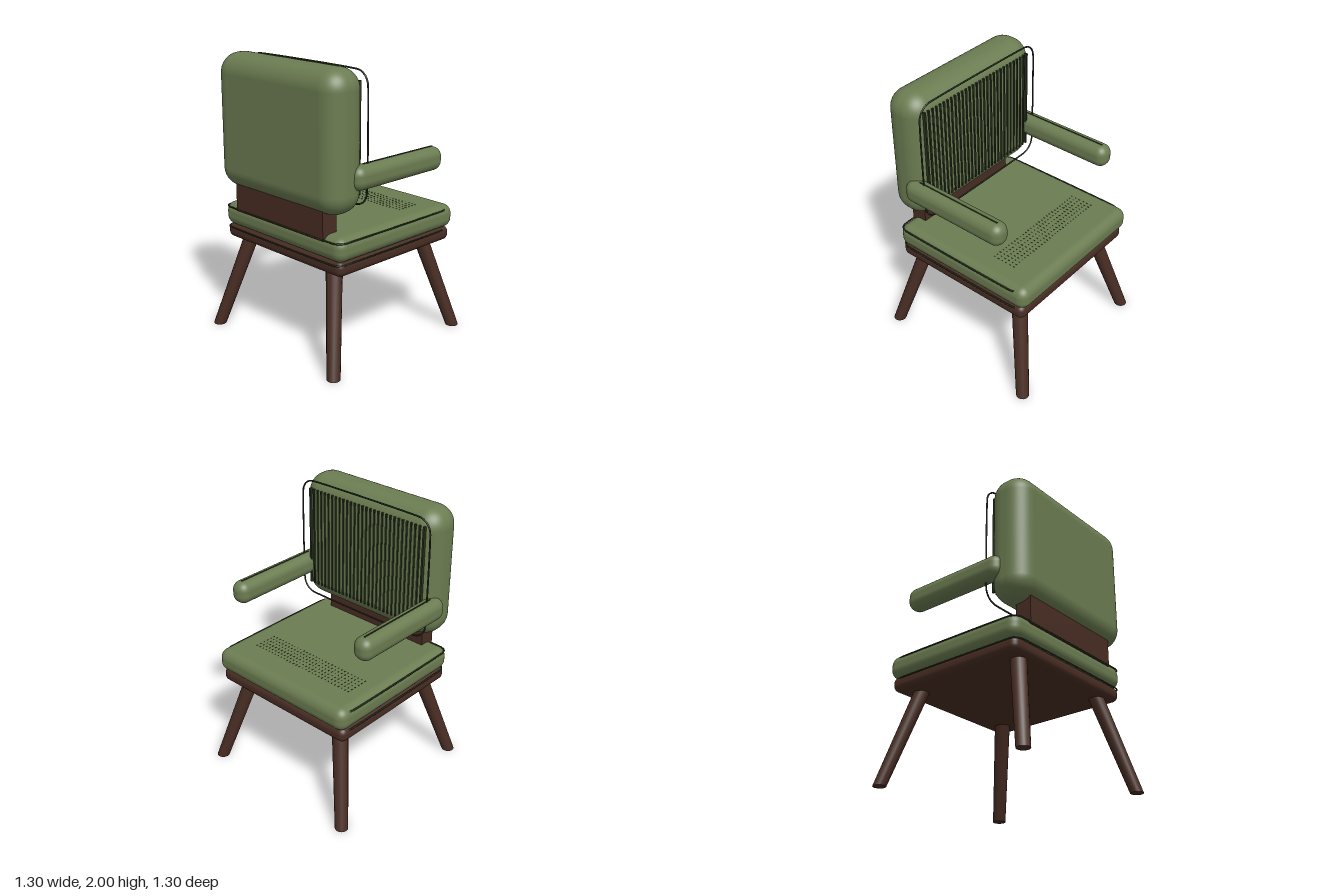
import * as THREE from 'three';
import { RoundedBoxGeometry } from 'three/addons/geometries/RoundedBoxGeometry.js';

const mat = (name, color) => Object.assign(new THREE.MeshStandardMaterial({ color }), { name });

export function createModel() {
  const chair = new THREE.Group();
  chair.name = 'armchair';
  const fabric = mat('green fabric', 0x6b7c51);
  const wood = mat('dark wood', 0x482d23);
  const trim = mat('dark green trim', 0x29331f);

  const add = (name, geometry, material, parent = chair) => {
    const mesh = new THREE.Mesh(geometry, material);
    mesh.name = name;
    parent.add(mesh);
    return mesh;
  };

  // Cushion given by its low and high corners
  const cushion = (name, lo, hi, radius, material) => {
    const s = hi.map((v, i) => v - lo[i]);
    const m = add(name, new RoundedBoxGeometry(s[0], s[1], s[2], 6, radius), material);
    m.position.set(...hi.map((v, i) => (v + lo[i]) / 2));
    return m;
  };

  // Closed cord around a rounded rectangle; place() maps (u, v) to space
  const cord = (name, u0, v0, u1, v1, r, place) => {
    const pts = [];
    const corners = [[u1 - r, v1 - r], [u0 + r, v1 - r], [u0 + r, v0 + r], [u1 - r, v0 + r]];
    corners.forEach(([u, v], k) => {
      for (let i = 0; i <= 6; i++) {
        const a = (k + i / 6) * Math.PI / 2;
        pts.push(place(u + r * Math.cos(a), v + r * Math.sin(a)));
      }
    });
    const path = new THREE.CurvePath();
    pts.forEach((p, i) => path.add(new THREE.LineCurve3(p, pts[(i + 1) % pts.length])));
    const curve = new THREE.CatmullRomCurve3(pts, true, 'centripetal');
    return add(name, new THREE.TubeGeometry(curve, 160, 0.006, 6, true), trim);
  };

  // Upholstery and wooden base
  cushion('seatFrame', [-0.58, 0.665, -0.57], [0.58, 0.77, 0.525], 0.045, wood);
  cushion('seatCushion', [-0.595, 0.76, -0.597], [0.595, 0.93, 0.537], 0.07, fabric);
  cushion('backCushion', [-0.592, 1.06, 0.283], [0.592, 2, 0.592], 0.14, fabric);
  const post = add('backSupport', new THREE.BoxGeometry(0.88, 0.3, 0.12), wood);
  post.position.set(0, 1.04, 0.48);

  // Splayed legs: tapered cylinders sheared outward, with level feet
  for (const sx of [-1, 1]) {
    for (const sz of [-1, 1]) {
      const g = new THREE.CylinderGeometry(0.056, 0.046, 0.7, 16);
      const p = g.attributes.position;
      for (let i = 0; i < p.count; i++) {
        const y = p.getY(i) + 0.35;
        const out = 0.604 - 0.262 * y;
        p.setXYZ(i, p.getX(i) + sx * out, y, p.getZ(i) + sz * out);
      }
      g.computeVertexNormals();
      add('leg', g, wood);
    }

    // Armrest and its top seam
    cushion('armrest', [sx * 0.566 - 0.07, 1.22, -0.415], [sx * 0.566 + 0.07, 1.385, 0.415], 0.066, fabric);
    const seam = add('armSeam', new THREE.BoxGeometry(0.009, 0.008, 0.67), trim);
    seam.position.set(sx * 0.566, 1.385, -0.022);
  }

  // Piping
  cord('backPiping', -0.568, 1.092, 0.568, 1.97, 0.1, (u, v) => new THREE.Vector3(u, v, 0.272));
  cord('seatPipingTop', -0.585, -0.535, 0.585, 0.535, 0.06, (u, v) => new THREE.Vector3(u, 0.9, v));
  cord('seatPipingBottom', -0.575, -0.535, 0.575, 0.535, 0.06, (u, v) => new THREE.Vector3(u, 0.75, v));

  // Vertical channel ribs on the sitting side of the back
  const ribs = new THREE.Group();
  ribs.name = 'backRibs';
  chair.add(ribs);
  const ribGeometry = new THREE.BoxGeometry(0.013, 0.74, 0.022);
  for (let i = 0; i < 30; i++) {
    add('rib', ribGeometry, trim, ribs).position.set(-0.508 + i * 1.016 / 29, 1.535, 0.288);
  }

  // Fine stitching across the leading part of the seat
  const stitches = new THREE.Group();
  stitches.name = 'seatStitching';
  chair.add(stitches);
  const stitchGeometry = new THREE.BoxGeometry(0.005, 0.004, 0.012);
  for (let i = 0; i < 30; i++) {
    for (let j = 0; j < 6; j++) {
      add('stitch', stitchGeometry, trim, stitches).position.set(-0.45 + i * 0.03, 0.93, -0.37 + j * 0.033);
    }
  }
  return chair;
}
